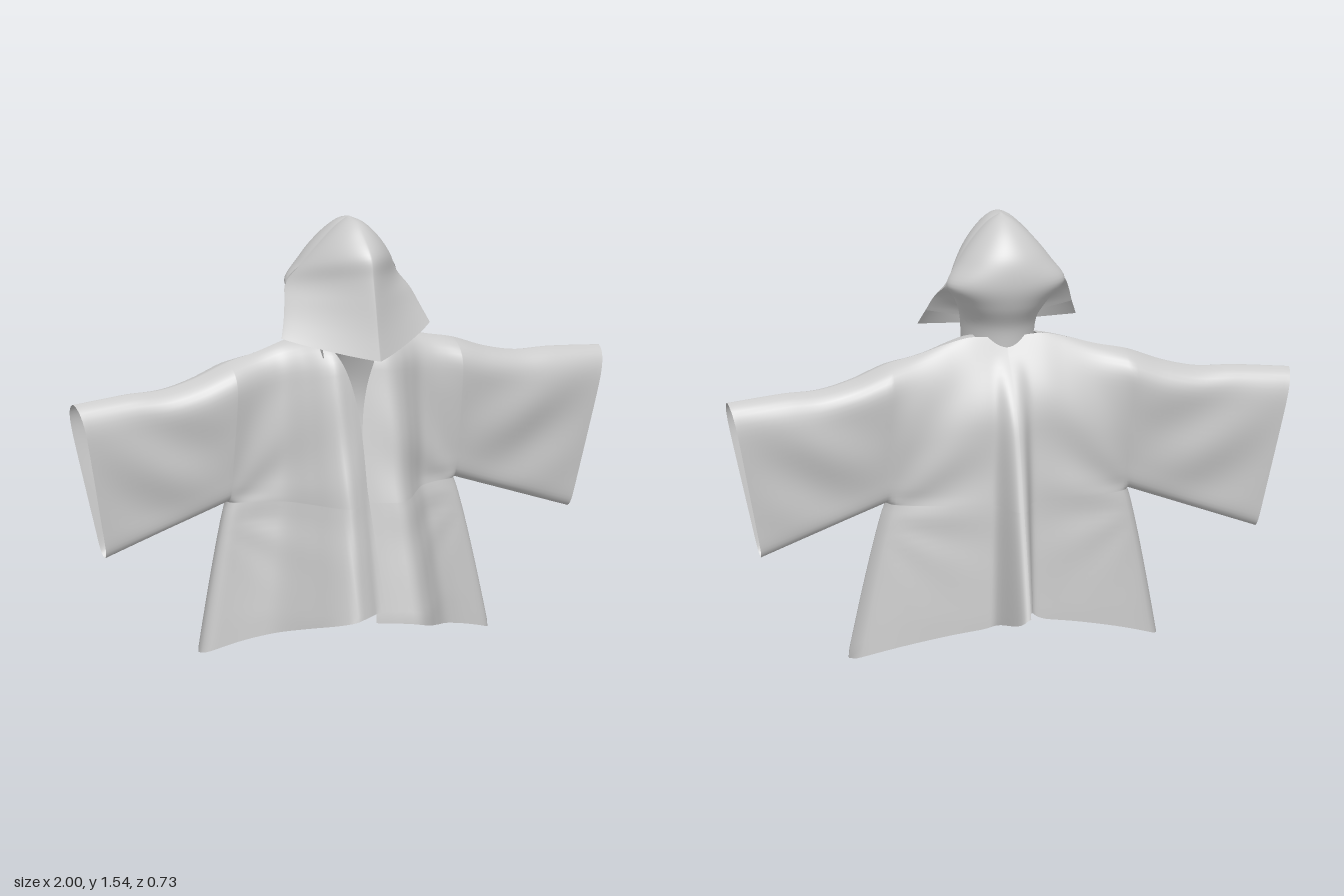
import * as THREE from 'three';
import { mergeGeometries, mergeVertices } from 'three/addons/utils/BufferGeometryUtils.js';

const { lerp, clamp, smoothstep } = THREE.MathUtils;
const cloth = new THREE.MeshStandardMaterial({ color: 0xcccccc, side: THREE.DoubleSide });

// Smoothly eased lookup in a short list of [position, value] pairs
function interp(pts, x) {
  if (x <= pts[0][0]) return pts[0][1];
  for (let i = 1; i < pts.length; i++) {
    if (x <= pts[i][0]) {
      const [x0, y0] = pts[i - 1], [x1, y1] = pts[i];
      const p = pts[Math.max(i - 2, 0)], n = pts[Math.min(i + 1, pts.length - 1)];
      const t = (x - x0) / (x1 - x0), h = x1 - x0;
      const m0 = (y1 - p[1]) / (x1 - p[0]) * h, m1 = (n[1] - y0) / (n[0] - x0) * h;
      return y0 + m0 * t + (3 * (y1 - y0) - 2 * m0 - m1) * t * t + (2 * (y0 - y1) + m0 + m1) * t ** 3;
    }
  }
  return pts[pts.length - 1][1];
}

// Sheet of cloth: fn(u, v) gives [x, y, z]
function sheet(nu, nv, fn, flip) {
  const pos = [], idx = [], row = nu + 1;
  for (let j = 0; j <= nv; j++) for (let i = 0; i <= nu; i++) pos.push(...fn(i / nu, j / nv));
  for (let j = 0; j < nv; j++) {
    for (let i = 0; i < nu; i++) {
      const a = j * row + i, b = a + 1, c = b + row, d = a + row;
      idx.push(...(flip ? [a, c, b, a, d, c] : [a, b, c, a, c, d]));
    }
  }
  const g = new THREE.BufferGeometry();
  g.setAttribute('position', new THREE.Float32BufferAttribute(pos, 3));
  g.setIndex(idx);
  return g;
}

function clothMesh(name, sheets) {
  const g = mergeVertices(mergeGeometries(sheets), 1e-4);
  g.computeVertexNormals();
  const m = new THREE.Mesh(g, cloth);
  m.name = name;
  return m;
}

// Shared outline: shoulder line, armpit, seam depth
const ARM_X = 0.43, ARM_Y = 0.55, SEAM = -0.015, SLEEVE = 0.095;
const shoulder = x => interp([[0, 1.11], [0.12, 1.12], [0.2, 1.105], [0.32, 1.07], [0.43, 1.045],
  [0.55, 1.0], [0.67, 0.972], [0.8, 0.968], [1, 0.95]], x);
const halfWidth = (y, sx) => ARM_X + (sx > 0 ? 0.13 : 0.105) * clamp((ARM_Y - y) / 0.53, 0, 1) ** 0.85;
// Thickness of the sleeve from its top (k = 0) to its underside (k = 1)
const sleeveShape = k => interp([[0, 0], [0.015, 0.35], [0.05, 0.7], [0.12, 0.95], [0.22, 1], [0.5, 0.8],
  [0.8, 0.54], [0.94, 0.4], [0.985, 0.22], [1, 0]], k);
const ease = t => 0.5 - 0.5 * Math.cos(Math.PI * t);

// Drape across the body, from the middle (0) to the side (1)
const FRONT = [[0, 0.84], [0.12, 0.95], [0.23, 1], [0.33, 0.86], [0.45, 0.58], [0.58, 0.3], [0.7, 0.17],
  [0.85, 0.07], [1, 0]];
const BACK = [[0, 1], [0.2, 0.95], [0.4, 0.82], [0.6, 0.66], [0.8, 0.4], [1, 0]];

// One quarter of the body: front or back, left (sx = 1) or right (sx = -1)
function bodyPanel(sx, front) {
  const hemFront = sx > 0 ? 0.125 : 0.145;
  return sheet(46, 50, (t, v) => {
    const u = front ? 1 - (1 - t) ** 1.3 : t ** 1.4;
    const topX = front ? lerp(0.11, ARM_X, u) : u * ARM_X;
    const top = shoulder(topX), upper = v <= 0.6;
    const k = upper ? ease(v / 0.6) : 1;
    const rise = front ? hemFront * lerp(1 - u, interp(FRONT, u), 0.5)
      : 0.1 * (1 - u ** 1.4) + 0.07 * Math.exp(-((u / 0.1) ** 2));
    const hem = (sx > 0 ? 0.003 : 0.025) + 0.02 * (1 - u ** 6) + rise;
    const y = upper ? lerp(top, ARM_Y, k) : lerp(ARM_Y, hem, (v - 0.6) / 0.4);
    const w = halfWidth(y, sx);
    // Neck opening closes downwards; the right edge laps over the left
    let x0 = 0;
    if (front) {
      const open = clamp((y - 0.62) / Math.max(top - 0.62, 0.1), 0, 1);
      x0 = 0.11 * open ** 3.2 - (sx < 0 ? 0.03 : -0.005) * clamp((0.6 - y) / 0.4, 0, 1);
    }
    const x = lerp(x0, w, u), a = clamp(x / w, 0, 1);
    const r = clamp((top - y) / (front ? 0.1 : 0.3), 0, 1);
    const round = front ? Math.sqrt(1 - (1 - r) ** 2) : Math.sin(r * Math.PI / 2);
    const drop = clamp((1.05 - y) / 0.9, 0, 1);
    let depth;
    if (front) {
      const shift = sx > 0 ? -0.05 : 0.03;
      const s = interp(FRONT, clamp(a + shift * Math.sin(Math.PI * a), 0, 1));
      depth = (0.165 + (sx > 0 ? 0.185 : 0.22) * drop) * s * round;
    } else {
      // Narrow upright pleat down the middle of the back
      const pleat = Math.exp(-(Math.abs((x - 0.01 * sx * drop) / 0.045) ** 3));
      depth = (0.115 + 0.03 * drop) * interp(BACK, a) * round + 0.22 * drop * pleat;
    }
    // Thickness towards the armhole and, lower down, the rounded side edge
    const sleeve = sleeveShape(k);
    const inner = upper ? Math.max(sleeve, 0.4 * smoothstep(k, 0, 0.5))
      : lerp(0.4, 0.48, clamp((ARM_Y - y) / 0.5, 0, 1));
    const edge = 1 - Math.sqrt(Math.max(1 - a ** 24, 0));
    depth += SLEEVE * lerp(inner, sleeve, edge) * a ** 2.5;
    // Soft folds radiating from the armpit
    const mask = Math.sin(Math.PI * u) * smoothstep(top - y, 0.02, 0.2) * smoothstep(y, 0.1, 0.9);
    const folds = 0.007 * mask * Math.sin(10 * Math.atan2(y - 0.5, 0.5 - x) + sx);
    return [sx * x, y, SEAM + (front ? 1 : -1) * (depth + folds)];
  }, front === sx > 0);
}

// Wide flat sleeve with a slanted open cuff
function sleevePanel(sx, front) {
  return sheet(30, 30, (s, v) => {
    const k = ease(v), topX = lerp(ARM_X, 1, s);
    const x = lerp(topX, lerp(ARM_X, 0.88, s), k);
    const y = lerp(shoulder(topX), ARM_Y - 0.16 * s, k);
    const mask = Math.sin(Math.PI * s) * Math.sin(Math.PI * k);
    const folds = 0.01 * mask * Math.sin(9 * k + 7 * s + sx);
    const depth = lerp(SLEEVE, 0.06, s) * sleeveShape(k) + folds;
    return [sx * x, y, lerp(SEAM, -0.04, s) + (front ? 1 : -1) * depth];
  }, front === sx > 0);
}

// Hood sheet swept from one side, round the centre line, to the other side;
// its plan goes from round (power 1) towards a flat-sided wedge (power 2)
const curve = pts => new THREE.CatmullRomCurve3(pts.map(p => new THREE.Vector3(...p)), false, 'catmullrom');
function hoodSheet(a, b, powerTop, powerBottom, flip) {
  return sheet(48, 42, (u, v) => {
    const p = a.getPoint(v), q = b.getPoint(v), th = u * Math.PI;
    const power = lerp(powerTop, powerBottom, smoothstep(v, 0.1, 0.8));
    const c = Math.cos(th), s = Math.max(Math.sin(th), 0) ** power;
    return [Math.sign(c) * Math.abs(c) ** power * p.x, lerp(p.y, q.y, s), lerp(p.z, q.z, s)];
  }, flip);
}

export function createModel() {
  const group = new THREE.Group();
  group.name = 'hoodedCloak';

  // Body and sleeves
  const robe = [];
  for (const sx of [1, -1]) {
    for (const front of [true, false]) robe.push(bodyPanel(sx, front), sleevePanel(sx, front));
  }
  group.add(clothMesh('robe', robe));

  // Hood: a drooping front flap and a rounded back that narrows into the neck
  const crown = [[0, 1.54, 0.06], [0.05, 1.51, 0.06], [0.11, 1.45, 0.05], [0.165, 1.38, 0.03], [0.21, 1.31, 0]];
  const flapSide = curve([...crown, [0.238, 1.26, 0.05], [0.26, 1.2, 0.09], [0.282, 1.145, 0.12]]);
  const flapCentre = curve([[0, 1.54, 0.06], [0, 1.53, 0.13], [0, 1.49, 0.19], [0, 1.43, 0.25],
    [0, 1.36, 0.265], [0, 1.27, 0.285], [0, 1.17, 0.305], [0, 1.08, 0.325]]);
  const neckSide = curve([...crown, [0.17, 1.25, 0.05], [0.135, 1.17, 0.11], [0.125, 1.06, 0.13]]);
  const neckCentre = curve([[0, 1.54, 0.06], [0, 1.52, 0], [0, 1.47, -0.06], [0, 1.4, -0.105],
    [0, 1.31, -0.115], [0, 1.23, -0.09], [0, 1.15, -0.045], [0, 1.06, -0.03]]);
  group.add(clothMesh('hood', [
    hoodSheet(flapSide, flapCentre, 1.1, 1.8, false),
    hoodSheet(neckSide, neckCentre, 1, 1, true),
  ]));

  // Folds that tuck the flap in towards the neck
  group.add(clothMesh('hoodFold', [1, -1].map(sx => sheet(4, 12, (u, t) => {
    const v = lerp(0.57, 0.86, t), p = flapSide.getPoint(v).lerp(neckSide.getPoint(v), u);
    return [sx * p.x, p.y, p.z];
  }, sx < 0))));
  return group;
}
